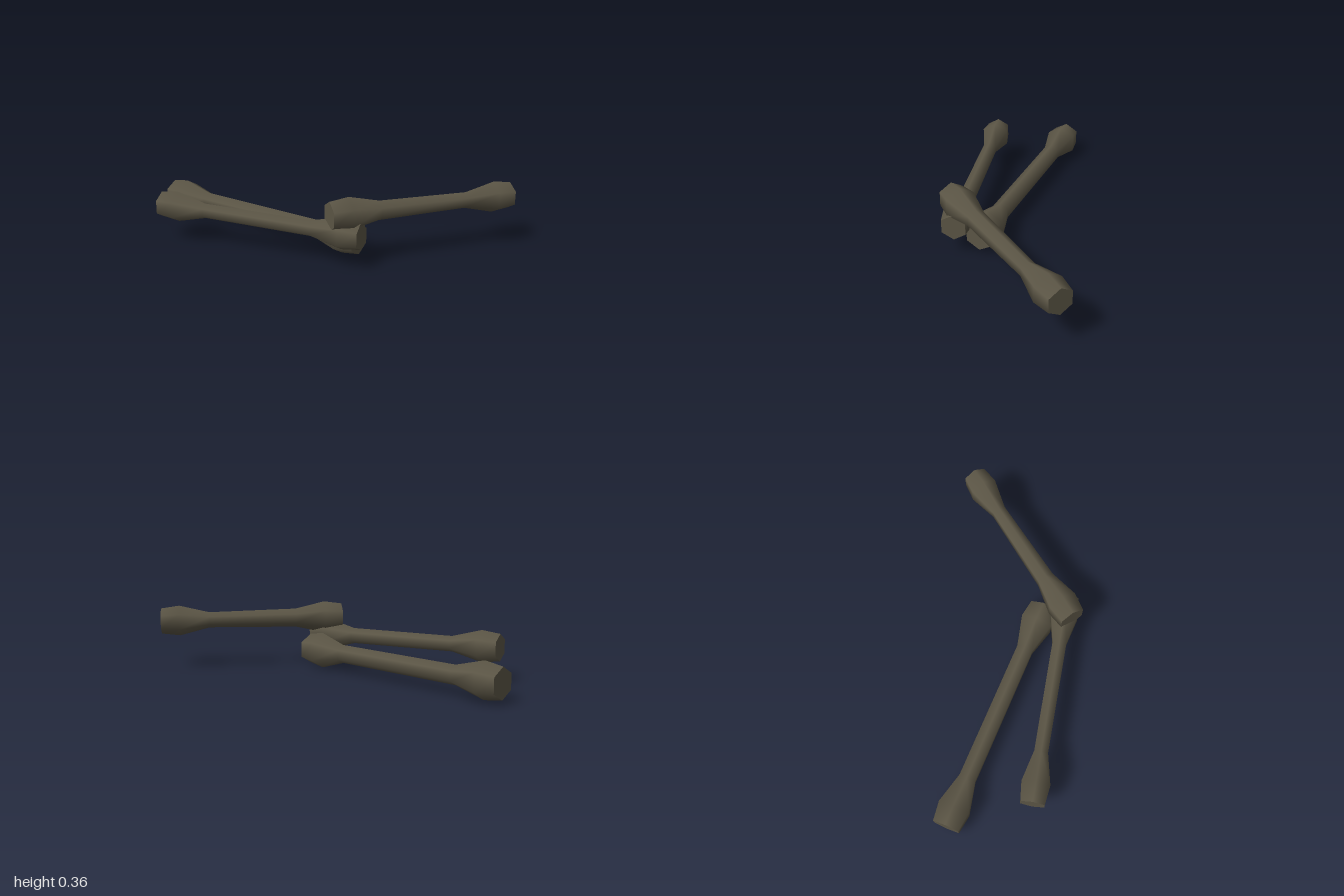
import * as THREE from 'three';
import { mergeGeometries } from 'three/addons/utils/BufferGeometryUtils.js';

// Six-sided bone running from a to b: two flared knobs with flat ends and a thin shaft.
// knobs and shaft hold the radius near a and near b.
function boneGeometry(a, b, knobs, shaft) {
  const length = a.distanceTo(b);
  const [k0, k1] = knobs;
  const [s0, s1] = shaft;
  const e0 = k0 * 0.84;
  const e1 = k1 * 0.84;
  const lathe = (pts) => new THREE.LatheGeometry(pts.map(([r, y]) => new THREE.Vector2(r, y)), 6);
  const geometry = mergeGeometries([
    lathe([[0, 0], [e0, 0]]),
    lathe([
      [e0, 0], [k0, 0.1], [s0, 0.265],
      [s1, length - 0.265], [k1, length - 0.1], [e1, length],
    ]),
    lathe([[e1, length], [0, length]]),
  ]);

  // Lay the bone along a -> b with one ridge of the hexagon pointing up
  const along = b.clone().sub(a).normalize();
  const side = along.clone().cross(new THREE.Vector3(0, 1, 0)).normalize();
  const up = side.clone().cross(along);
  geometry.applyMatrix4(new THREE.Matrix4().makeBasis(side, along, up).setPosition(a));
  return geometry;
}

export function createModel() {
  const group = new THREE.Group();
  group.name = 'bonePile';
  const bone = new THREE.MeshStandardMaterial({ color: 0x5c5646 });
  bone.name = 'agedBone';

  // Three bones stacked where their ends meet
  const bones = [
    { name: 'bottomBone', a: [-0.978, 0.1, -0.213], b: [0.262, 0.098, 0.148], knobs: [0.094, 0.098], shaft: [0.05, 0.05] },
    { name: 'middleBone', a: [-0.828, 0.187, 0.204], b: [0.303, 0.168, 0.272], knobs: [0.084, 0.086], shaft: [0.041, 0.043] },
    { name: 'topBone', a: [0.152, 0.268, 0.307], b: [0.953, 0.262, -0.318], knobs: [0.09, 0.084], shaft: [0.052, 0.043] },
  ];
  for (const { name, a, b, knobs, shaft } of bones) {
    const geometry = boneGeometry(new THREE.Vector3(...a), new THREE.Vector3(...b), knobs, shaft);
    const mesh = new THREE.Mesh(geometry, bone);
    mesh.name = name;
    group.add(mesh);
  }
  return group;
}
